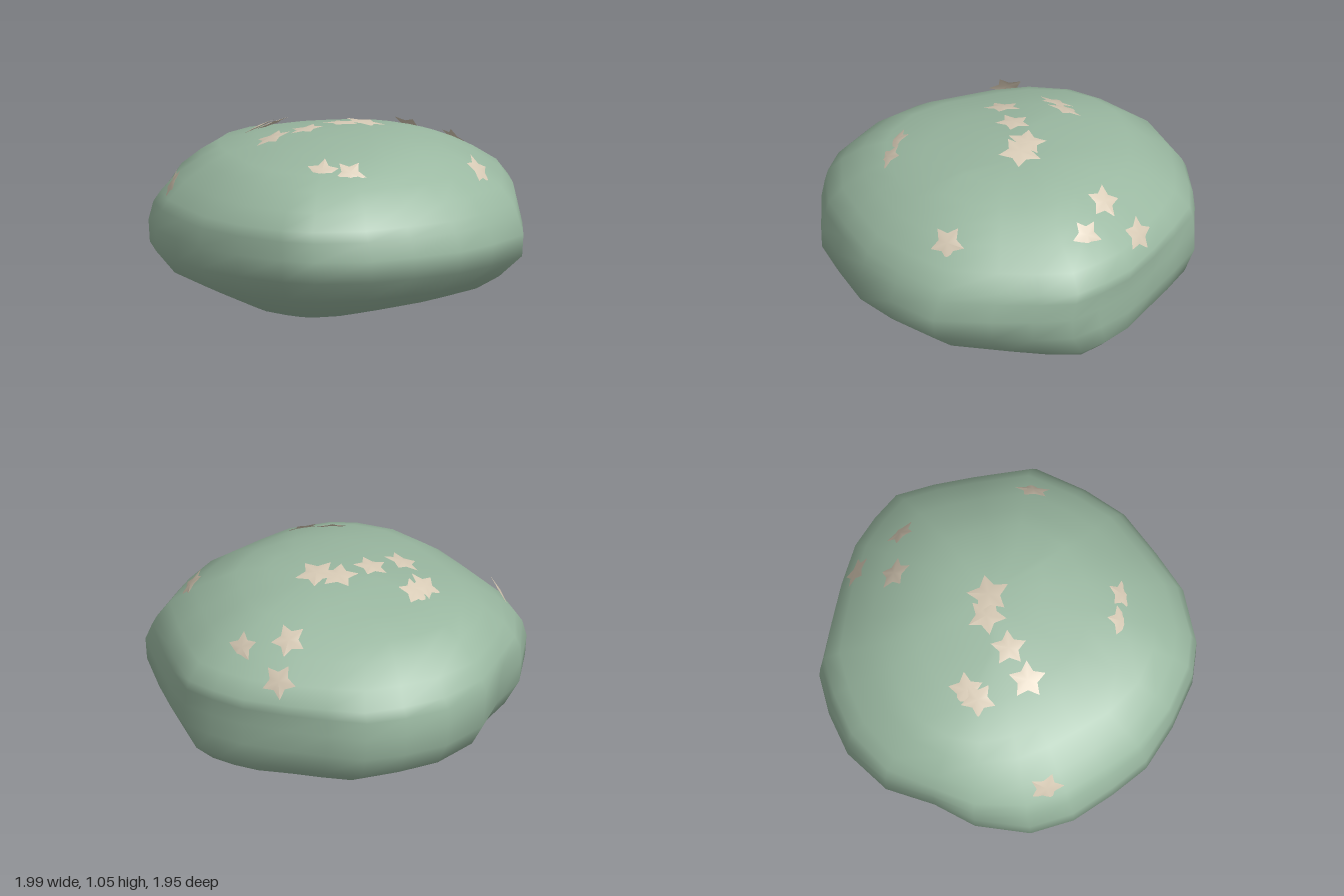
import * as THREE from 'three';

const shellGreen = new THREE.MeshStandardMaterial({ color: 0x9ab8a1 });
shellGreen.name = 'sage green';
const starBeige = new THREE.MeshStandardMaterial({ color: 0xd8cbb6, side: THREE.DoubleSide });
starBeige.name = 'warm beige';

// Plan outline of the pebble as (x, z), running from the front towards +x
const OUTLINE = [
  [0, 0.98], [0.28, 0.97], [0.46, 0.91], [0.7, 0.72], [0.83, 0.5], [0.96, 0.25], [1, 0], [1, -0.3],
  [0.82, -0.56], [0.68, -0.74], [0.53, -0.9], [0.35, -0.95], [0.15, -0.98], [-0.1, -0.96],
  [-0.33, -0.93], [-0.55, -0.89], [-0.73, -0.75], [-0.9, -0.56], [-1, -0.28], [-0.97, 0], [-0.99, 0.25],
  [-0.9, 0.54], [-0.73, 0.72], [-0.5, 0.85], [-0.28, 0.95],
];

// Cross-sections from bottom to top: height, then reach to +x, -x, +z and -z
const LEVELS = [
  [0.02, 0.1, 0.35, 0.1, 0.42],
  [0.08, 0.36, 0.5, 0.53, 0.65],
  [0.17, 0.68, 0.73, 0.71, 0.85],
  [0.25, 0.82, 0.9, 0.86, 0.94],
  [0.38, 0.99, 0.97, 1, 0.98],
  [0.5, 1, 0.98, 1, 0.975],
  [0.6, 0.96, 1, 0.99, 0.985],
  [0.66, 0.93, 0.98, 0.98, 0.99],
  [0.75, 0.865, 0.94, 0.9, 0.92],
  [0.84, 0.74, 0.84, 0.79, 0.78],
  [0.9, 0.63, 0.75, 0.66, 0.67],
  [0.95, 0.53, 0.53, 0.41, 0.55],
  [0.99, 0.36, 0.24, 0.14, 0.4],
];

// Rounder shoulders on the -x side, a fuller underside at the +x back corner
function cornerScale(x, y, z) {
  const diagonal = Math.abs(x * z);
  if (x < 0) return 1 - (z > 0 ? 0.75 : 0.45) * Math.max(0, y - 0.5) * diagonal;
  return z < 0 ? 1 + 0.7 * Math.max(0, 0.38 - y) * diagonal : 1;
}

function pebbleGeometry() {
  const n = OUTLINE.length;
  const points = [];
  const index = [];
  for (const [y, px, nx, pz, nz] of LEVELS) {
    for (const [x, z] of OUTLINE) {
      const s = cornerScale(x, y, z);
      points.push(x * s * (x > 0 ? px : nx), y, z * s * (z > 0 ? pz : nz));
    }
  }
  for (let i = 0; i < LEVELS.length - 1; i++) {
    for (let j = 0; j < n; j++) {
      const k = (j + 1) % n;
      const a = i * n + j, b = i * n + k, c = a + n, d = b + n;
      index.push(a, b, d, a, d, c);
    }
  }
  // Close the bottom and the top
  const bottom = points.length / 3, top = bottom + 1;
  points.push(-0.12, 0, -0.2, 0.08, 1.01, -0.15);
  const last = (LEVELS.length - 1) * n;
  for (let j = 0; j < n; j++) {
    const k = (j + 1) % n;
    index.push(bottom, k, j, top, last + j, last + k);
  }
  const geometry = new THREE.BufferGeometry();
  geometry.setAttribute('position', new THREE.Float32BufferAttribute(points, 3));
  geometry.setIndex(index);
  geometry.computeVertexNormals();
  return geometry;
}

// Five-pointed sheet, slightly raised in the middle, facing +z
function starGeometry() {
  const geometry = new THREE.CircleGeometry(1, 10, Math.PI / 2);
  const p = geometry.attributes.position;
  p.setZ(0, 0.08);
  for (let i = 1; i < p.count; i++) {
    if (i % 2 === 0) p.setXY(i, p.getX(i) * 0.54, p.getY(i) * 0.54);
  }
  geometry.computeVertexNormals();
  return geometry;
}

// Stars: x, z, radius, turn, lift above the surface
const STARS = [
  [-0.03, -0.87, 0.1, 0.3, 0.018], [0.24, -0.74, 0.09, 0.5, 0.012], [0, -0.66, 0.1, 0, 0.02],
  [0.75, -0.2, 0.1, 0.1, 0.022], [0.06, -0.14, 0.12, 0.3, 0.024], [-0.05, -0.1, 0.11, 0.9, 0.02],
  [-0.46, -0.03, 0.1, 0.2, 0.02], [-0.48, 0.05, 0.1, 0.7, 0.024], [-0.16, 0.08, 0.1, 0.2, 0.02],
  [-0.27, 0.24, 0.105, 0.15, 0.022], [-0.7, 0.55, 0.1, -0.4, 0.02],
  [0.4, 0.49, 0.09, 0.2, 0.006], [0.26, 0.55, 0.09, 0.5, 0.004],
];

export function createModel() {
  const model = new THREE.Group();
  model.name = 'starryPebble';

  const body = new THREE.Mesh(pebbleGeometry(), shellGreen);
  body.name = 'pebbleBody';
  model.add(body);

  // Set every star on the surface, tilted as on a sphere so its upper tips stand off
  const stars = new THREE.Group();
  stars.name = 'stars';
  const geometry = starGeometry();
  const down = new THREE.Vector3(0, -1, 0);
  body.updateMatrixWorld();
  STARS.forEach(([x, z, radius, turn, lift], i) => {
    const hit = new THREE.Raycaster(new THREE.Vector3(x, 3, z), down).intersectObject(body)[0];
    const normal = new THREE.Vector3(x, Math.sqrt(1 - x * x - z * z), z);
    const star = new THREE.Mesh(geometry, starBeige);
    star.name = 'star' + (i + 1);
    const up = new THREE.Vector3(0, 0, -1).projectOnPlane(normal).normalize();
    const side = new THREE.Vector3().crossVectors(up, normal);
    star.quaternion.setFromRotationMatrix(new THREE.Matrix4().makeBasis(side, up, normal));
    star.rotateZ(turn);
    star.position.copy(hit.point).addScaledVector(normal, lift);
    star.scale.setScalar(radius);
    stars.add(star);
  });
  model.add(stars);
  return model;
}
